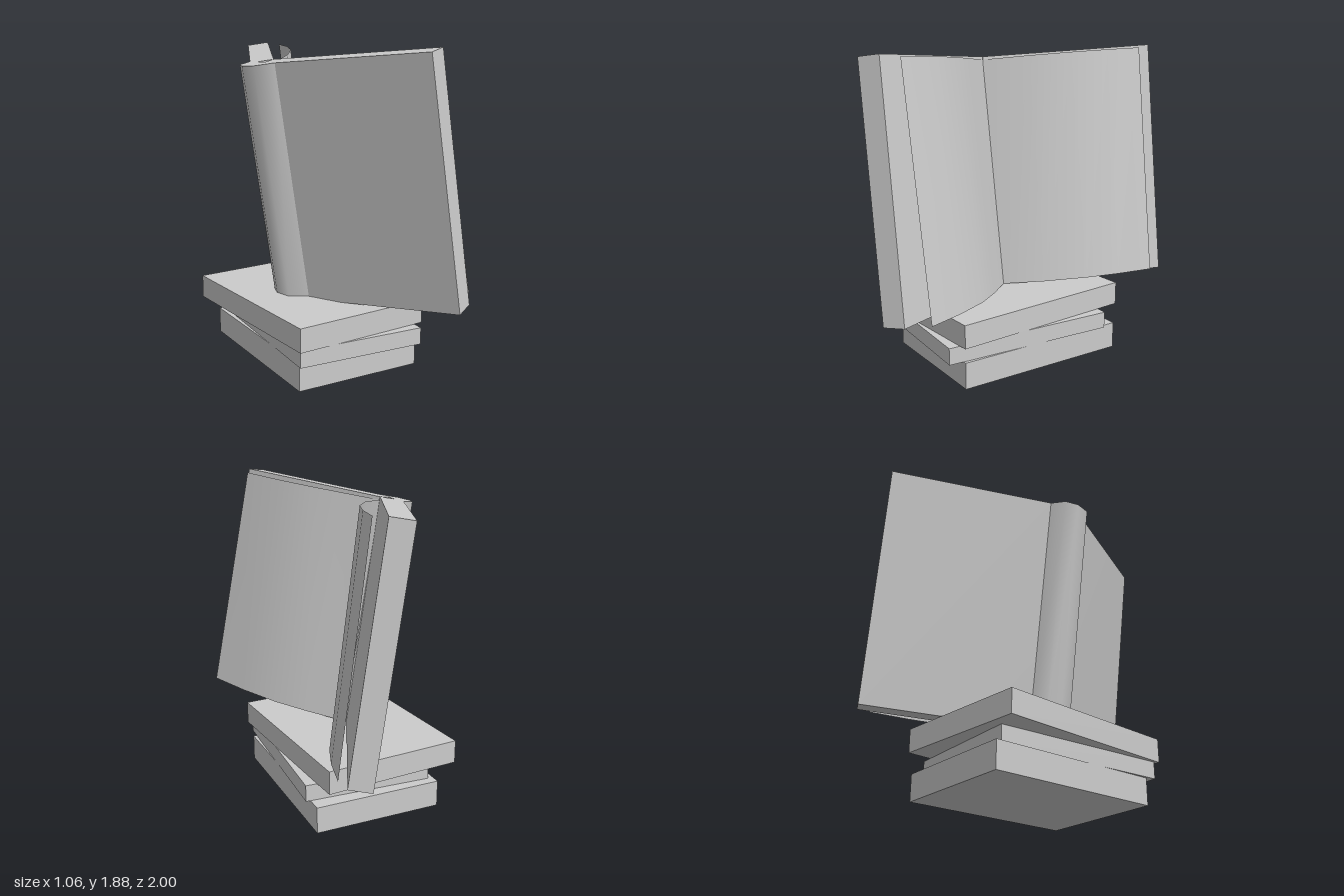
import * as THREE from 'three';
import { mergeGeometries } from 'three/addons/utils/BufferGeometryUtils.js';

const grey = new THREE.MeshStandardMaterial({ color: 0xcccccc });
const greyThin = new THREE.MeshStandardMaterial({ color: 0xcccccc, side: THREE.DoubleSide });

// The sloping planes of the book's upper and lower ends
const topY = (x, z) => 1.837 + 0.163 * x + 0.01 * z;
const bottomY = (x, z) => 0.403 + 0.16 * x + 0.008 * z;

// Plan points [x, z] lifted onto an end plane
const lift = (points, plane, inset = 0) => points.map(([x, z]) => [x, plane(x, z) + inset, z]);

function geometryFrom(points, index) {
  const geometry = new THREE.BufferGeometry();
  geometry.setAttribute('position', new THREE.Float32BufferAttribute(points.flat(), 3));
  geometry.setIndex(index);
  geometry.computeVertexNormals();
  return geometry;
}

// Smooth strip ruled between a lower and an upper line
function strip(lower, upper) {
  const n = lower.length;
  const index = [];
  for (let i = 0; i < n - 1; i++) {
    index.push(i, i + 1, n + i + 1, i, n + i + 1, n + i);
  }
  return geometryFrom([...lower, ...upper], index);
}

// Flat end cap, facing up or down
function cap(ring, up) {
  const plan = ring.map(([x, , z]) => new THREE.Vector2(x, z));
  const index = [];
  for (const [a, b, c] of THREE.ShapeUtils.triangulateShape(plan, [])) {
    const ccw = plan[b].clone().sub(plan[a]).cross(plan[c].clone().sub(plan[a])) > 0;
    index.push(...(ccw === up ? [a, c, b] : [a, b, c]));
  }
  return geometryFrom(ring, index);
}

function add(group, name, geometry, material) {
  const mesh = new THREE.Mesh(geometry, material);
  mesh.name = name;
  group.add(mesh);
  return mesh;
}

// Both boards and the rounded spine, leaving a small hollow behind the gutter
function coverGeometry() {
  const plan = [
    [0.04, -1.0],
    [-0.37, -0.125], [-0.455, -0.08], [-0.48, 0], [-0.455, 0.095], [-0.355, 0.155],
    [0.09, 0.98], [0.21, 0.915],
    [-0.28, 0.001], [-0.36, 0.04], [-0.36, -0.04], [-0.28, -0.001],
    [0.16, -0.94],
  ];
  const leaned = plan.map(([x, z]) => [x + 0.213 + 0.012 * z, z + 0.018 * Math.abs(z)]);
  const upper = lift(plan, topY);
  const lower = lift(leaned, bottomY);
  const parts = [cap(upper, true), cap(lower, false)];

  // Spine is one smooth strip, every other side is flat
  parts.push(strip(lower.slice(1, 6), upper.slice(1, 6)));
  for (let i = 0; i < plan.length; i++) {
    if (i >= 1 && i < 5) continue;
    const j = (i + 1) % plan.length;
    parts.push(strip([lower[i], lower[j]], [upper[i], upper[j]]));
  }
  return mergeGeometries(parts);
}

export function createModel() {
  const model = new THREE.Group();
  model.name = 'bookDisplay';

  // Stack of closed books: width, height, depth, centre x, base y, centre z, turn
  const stack = new THREE.Group();
  stack.name = 'bookStack';
  const slabs = [
    ['bottomBook', 0.785, 0.16, 1.075, -0.022, 0, -0.008, 0],
    ['middleBook', 0.78, 0.1, 1.07, -0.018, 0.16, 0.065, -0.051],
    ['topBook', 0.852, 0.14, 1.153, -0.065, 0.26, 0.003, 0.07],
  ];
  for (const [name, w, h, d, x, y, z, turn] of slabs) {
    const slab = add(stack, name, new THREE.BoxGeometry(w, h, d), grey);
    slab.position.set(x, y + h / 2, z);
    slab.rotation.y = turn;
  }
  model.add(stack);

  // Open book leaning back on the stack
  const book = new THREE.Group();
  book.name = 'openBook';
  add(book, 'cover', coverGeometry(), grey);

  // Bowed page sheets, fanning out from the gutter
  const pages = [
    ['frontPage',
      [[-0.05, 0], [0.127, 0.18], [0.275, 0.354], [0.41, 0.577], [0.525, 0.82]],
      [[-0.28, 0], [-0.13, 0.18], [0.005, 0.345], [0.14, 0.56], [0.255, 0.82]]],
    ['backPage',
      [[-0.05, 0], [0.11, -0.2], [0.243, -0.43], [0.317, -0.62], [0.375, -0.836]],
      [[-0.28, 0], [-0.08, -0.206], [0.058, -0.42], [0.143, -0.63], [0.193, -0.836]]],
  ];
  for (const [name, low, high] of pages) {
    const geometry = strip(lift(low, bottomY, 0.006), lift(high, topY, -0.018));
    // Turn the front page's faces outward to match the back page
    if (name === 'frontPage') {
      geometry.setIndex([...geometry.index.array].reverse());
      geometry.computeVertexNormals();
    }
    add(book, name, geometry, greyThin);
  }
  model.add(book);

  return model;
}
